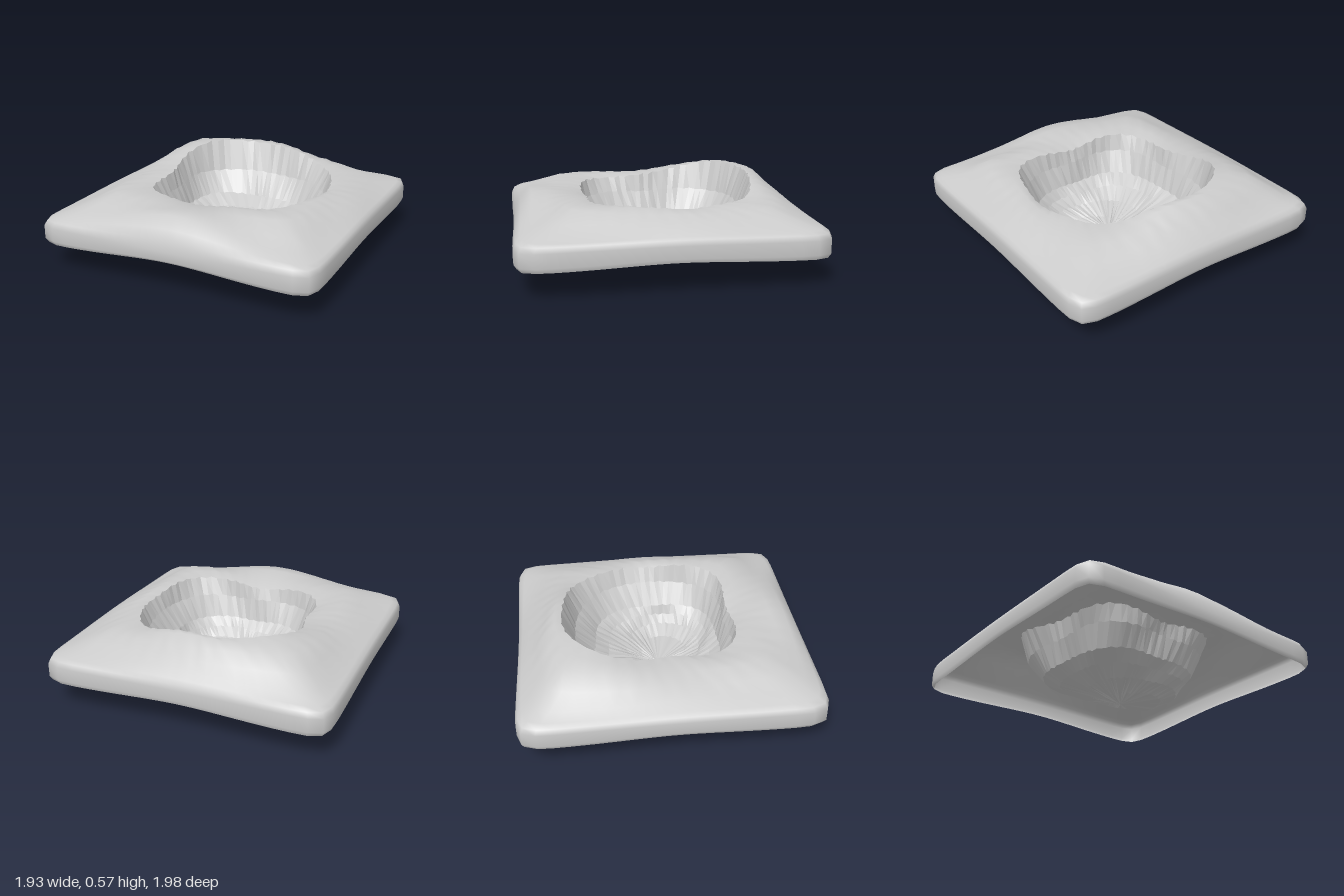
import * as THREE from 'three';

const SEG = 96;
// Values around a ring start at +x and step 45 degrees towards +z (the front).
function around(values, j) {
  const n = values.length, u = (j / SEG) * n, i = Math.floor(u), t = u - i;
  const [a, b, c, d] = [-1, 0, 1, 2].map(k => values[(i + k + n) % n]);
  return b + 0.5 * t * (c - a + t * (2 * a - 5 * b + 4 * c - d + t * (3 * (b - c) + d - a)));
}

// Small repeatable unevenness for the worn surface
const rough = (j, k) => 0.5 * Math.sin(j * 2.618 + k * 1.7) + 0.5 * Math.sin(j * (Math.PI * 2 / SEG) * 7 + k * 2.3);

const bowlCentre = [0.05, 0];
function bowlRing(radii, heights, k, amount) {
  return Array.from({ length: SEG }, (_, j) => {
    const a = (j / SEG) * Math.PI * 2;
    const r = around(radii, j) + amount * rough(j, k);
    return [bowlCentre[0] + r * Math.cos(a), around(heights, j) + amount * rough(j, k + 4), bowlCentre[1] + r * Math.sin(a)];
  });
}

// Rounded square outline
function squarePoint(j) {
  const a = (j / SEG) * Math.PI * 2, c = Math.cos(a), s = Math.sin(a), p = 18;
  const r = 1 / Math.pow(Math.abs(c) ** p + Math.abs(s) ** p, 1 / p);
  return [0.965 * r * c, 0.985 * r * s + 0.008 * Math.sin(a * 3)];
}

// Skin a list of rings, working outwards
function loft(rings, material, name) {
  const pos = rings.flat(2), index = [];
  for (let i = 0; i < rings.length - 1; i++) {
    for (let j = 0; j < SEG; j++) {
      const a = i * SEG + j, b = i * SEG + (j + 1) % SEG;
      index.push(a, b, a + SEG, b, b + SEG, a + SEG);
    }
  }
  const g = new THREE.BufferGeometry();
  g.setAttribute('position', new THREE.Float32BufferAttribute(pos, 3));
  g.setIndex(index);
  g.computeVertexNormals();
  const mesh = new THREE.Mesh(g, material);
  mesh.name = name;
  return mesh;
}

export function createModel() {
  const group = new THREE.Group();
  group.name = 'craterTile';
  const material = flat => new THREE.MeshStandardMaterial({ color: 0xcccccc, side: THREE.DoubleSide, flatShading: flat });
  const level = y => Array(8).fill(y);

  // Crater lip
  const rim = bowlRing([0.58, 0.61, 0.48, 0.62, 0.55, 0.73, 0.66, 0.65],
    [0.46, 0.48, 0.44, 0.46, 0.465, 0.555, 0.55, 0.47], 1, 0.012);

  // Sunken bowl: contour radii at rising heights
  const contours = [
    [0.00, level(0.001)],
    [0.03, [0.27, 0.27, 0.17, 0.11, 0.1, 0.1, 0.08, 0.15]],
    [0.08, [0.37, 0.38, 0.29, 0.28, 0.25, 0.22, 0.2, 0.28]],
    [0.14, [0.41, 0.44, 0.36, 0.4, 0.38, 0.42, 0.35, 0.4]],
    [0.20, [0.44, 0.49, 0.42, 0.5, 0.46, 0.55, 0.45, 0.48]],
    [0.35, [0.54, 0.56, 0.46, 0.58, 0.51, 0.66, 0.58, 0.58]],
  ];
  const bowl = contours.map(([y, radii], k) => bowlRing(radii, level(y), k, k ? 0.009 : 0));
  group.add(loft([...bowl, rim], material(true), 'craterBowl'));

  // Raised ground from the lip out to the rounded edge, then the skirt
  const slopes = [
    [0.15, [0.475, 0.49, 0.465, 0.475, 0.475, 0.55, 0.555, 0.465], 0.008],
    [0.35, [0.45, 0.48, 0.475, 0.475, 0.47, 0.53, 0.51, 0.45], 0.005],
    [0.55, [0.43, 0.42, 0.49, 0.43, 0.44, 0.46, 0.46, 0.41], 0.003],
    [0.75, [0.395, 0.375, 0.485, 0.385, 0.4, 0.385, 0.41, 0.37], 0],
    [0.90, [0.36, 0.35, 0.42, 0.355, 0.36, 0.355, 0.365, 0.35], 0],
    [0.97, [0.345, 0.335, 0.355, 0.335, 0.345, 0.335, 0.34, 0.335], 0],
    [1.00, [0.31, 0.3, 0.29, 0.3, 0.31, 0.3, 0.3, 0.3], 0],
    [1.00, [0.23, 0.21, 0.23, 0.21, 0.23, 0.21, 0.23, 0.21], 0],
    [0.97, [0.205, 0.18, 0.215, 0.18, 0.205, 0.18, 0.205, 0.18], 0],
  ];
  const ground = slopes.map(([t, heights, amount], k) => rim.map((p, j) => {
    const [x, z] = squarePoint(j);
    return [p[0] + (x - p[0]) * t, around(heights, j) + amount * rough(j, k), p[2] + (z - p[2]) * t];
  }));
  group.add(loft([rim, ...ground], material(false), 'groundSlab'));
  return group;
}
